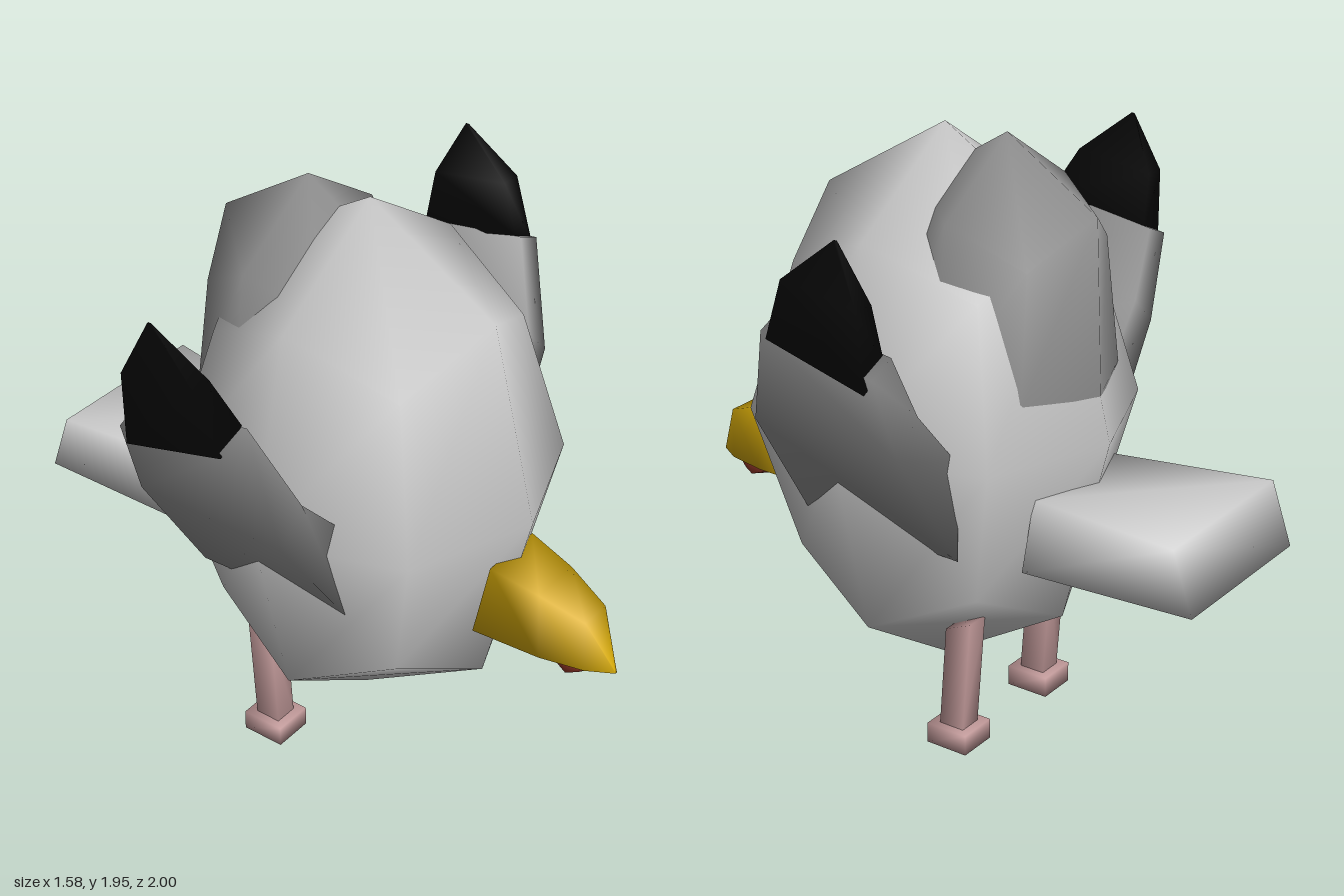
import * as THREE from 'three';
import { mergeVertices } from 'three/addons/utils/BufferGeometryUtils.js';

const mat = (name, color) => {
  const m = new THREE.MeshStandardMaterial({ color });
  m.name = name;
  return m;
};

// Smoothed cube: a 2x2x2 box whose edge midpoints and corners are pulled in.
// radii = distance to face centres, pull = per-axis factor at edge midpoints.
function blob(radii, pull) {
  const g = new THREE.BoxGeometry(2, 2, 2, 2, 2, 2);
  const p = g.attributes.position;
  for (let i = 0; i < p.count; i++) {
    const v = [p.getX(i), p.getY(i), p.getZ(i)].map(Math.round);
    const n = v.filter((c) => c !== 0).length;
    const out = v.map((c, k) => c * radii[k] * (n === 1 ? 1 : n === 2 ? pull[k] : pull[k] * 0.76));
    p.setXYZ(i, ...out);
  }
  return smooth(g);
}

// Share vertices so the normals run smoothly over every edge.
function smooth(g) {
  g.deleteAttribute('normal');
  g.deleteAttribute('uv');
  const m = mergeVertices(g, 1e-4);
  m.computeVertexNormals();
  return m;
}

// Closed skin over a row of four-cornered sections; side = -1 mirrors it in x.
function loft(sections, side = 1) {
  const pos = sections.flat().flatMap(([x, y, z]) => [x * side, y, z]);
  const idx = [];
  const quad = (a, b, c, d) => idx.push(a, b, c, a, c, d);
  for (let s = 0; s < sections.length - 1; s++) {
    for (let k = 0; k < 4; k++) {
      const a = s * 4 + k, b = s * 4 + (k + 1) % 4;
      quad(a, b, b + 4, a + 4);
    }
  }
  const e = (sections.length - 1) * 4;
  quad(3, 2, 1, 0);
  quad(e, e + 1, e + 2, e + 3);
  // Turn all faces outward
  let volume = 0;
  const pt = (i) => new THREE.Vector3().fromArray(pos, i * 3);
  for (let i = 0; i < idx.length; i += 3) volume += pt(idx[i]).dot(pt(idx[i + 1]).cross(pt(idx[i + 2])));
  if (volume < 0) idx.reverse();
  const g = new THREE.BufferGeometry();
  g.setAttribute('position', new THREE.Float32BufferAttribute(pos, 3));
  g.setIndex(idx);
  g.computeVertexNormals();
  return g;
}

export function createModel() {
  const model = new THREE.Group();
  model.name = 'bird';
  const white = mat('paleFeather', 0xcccccc);
  const grey = mat('greyFeather', 0x929292);
  const black = mat('blackFeather', 0x070707);
  const yellow = mat('beakYellow', 0xdbae08);
  const red = mat('spotRed', 0x8a3325);
  const pink = mat('legPink', 0xc29a9a);

  const add = (name, geo, material, x = 0, y = 0, z = 0, parent = model) => {
    const m = new THREE.Mesh(geo, material);
    m.name = name;
    m.position.set(x, y, z);
    parent.add(m);
    return m;
  };

  // Body
  add('body', blob([0.565, 0.897, 0.605], [0.73, 0.7, 0.74]), white, 0, 1.048, 0.075);

  // Grey hump over the upper back: slimmer below its shoulders, corners drawn in
  const hump = blob([0.41, 0.75, 0.42], [0.76, 0.73, 0.76]);
  const hp = hump.attributes.position;
  for (let i = 0; i < hp.count; i++) {
    const [x, y, z] = [hp.getX(i), hp.getY(i), hp.getZ(i)];
    const corner = Math.abs(x * z) > 0.01 ? 0.9 : 1;
    const low = y < 0.1 ? 0.82 : 1;
    hp.setXYZ(i, x * corner * (y < 0.1 ? 0.95 : 1), y, z * corner * low);
  }
  hump.computeVertexNormals();
  add('backHump', hump, grey, 0, 1.2, -0.15);

  // Beak: rectangular sections narrowing to a hooked tip
  const beakSection = (w, yLow, zLow, yTop, zTop) =>
    [[-w, yLow, zLow], [w, yLow, zLow], [w, yTop, zTop], [-w, yTop, zTop]];
  add('beak', loft([
    beakSection(0.113, 0.66, 0.555, 0.92, 0.61),
    beakSection(0.09, 0.65, 0.78, 0.878, 0.77),
    beakSection(0.055, 0.645, 0.92, 0.82, 0.915),
    beakSection(0.004, 0.64, 1.0, 0.65, 0.997),
  ]), yellow);
  add('beakSpot', blob([0.062, 0.062, 0.062], [0.75, 0.75, 0.75]), red, 0, 0.645, 0.85);

  // Tail: flaring slab
  add('tail', loft([
    beakSection(0.21, 0.655, -0.36, 0.91, -0.4),
    beakSection(0.29, 0.73, -1.0, 0.93, -0.93),
  ]), white);

  // Wings: [outer x, y], [inner x, y], front z, back z, drop of the back edge
  const wingSection = (o, i, zf, zb, drop) =>
    [[o[0], o[1], zf], [i[0], i[1], zf], [i[0], i[1] - drop, zb], [o[0], o[1] - drop, zb]];
  const wing = [
    wingSection([0.4, 0.76], [0.4, 1.08], 0.31, -0.26, 0.02),
    wingSection([0.68, 1.17], [0.58, 1.27], 0.27, -0.25, 0),
    wingSection([0.77, 1.5], [0.68, 1.54], 0.16, -0.235, 0.06),
  ];
  const tip = [
    wingSection([0.773, 1.48], [0.677, 1.54], 0.14, -0.21, 0.09),
    wingSection([0.79, 1.68], [0.72, 1.68], 0.065, -0.2, 0.04),
    wingSection([0.762, 1.82], [0.758, 1.82], -0.105, -0.115, 0),
  ];

  // Leg: square post leaning back, with a slanted top
  const legSection = (yFront, yBack, zFront, zBack) =>
    [[0.185, yFront, zFront], [0.265, yFront, zFront], [0.265, yBack, zBack], [0.185, yBack, zBack]];
  const leg = [legSection(0.05, 0.05, -0.09, -0.178), legSection(0.41, 0.45, -0.115, -0.207)];

  for (const side of [1, -1]) {
    const label = side > 0 ? 'left' : 'right';
    const wingGroup = new THREE.Group();
    wingGroup.name = label + 'Wing';
    model.add(wingGroup);
    add(label + 'WingArm', loft(wing, side), grey, 0, 0, 0, wingGroup);
    add(label + 'WingTip', loft(tip, side), black, 0, 0, 0, wingGroup);

    const legGroup = new THREE.Group();
    legGroup.name = label + 'LegGroup';
    model.add(legGroup);
    add(label + 'Leg', loft(leg, side), pink, 0, 0, 0, legGroup);
    add(label + 'Foot', smooth(new THREE.BoxGeometry(0.135, 0.068, 0.147)), pink,
      side * 0.225, 0.034, -0.135, legGroup);
  }
  return model;
}
